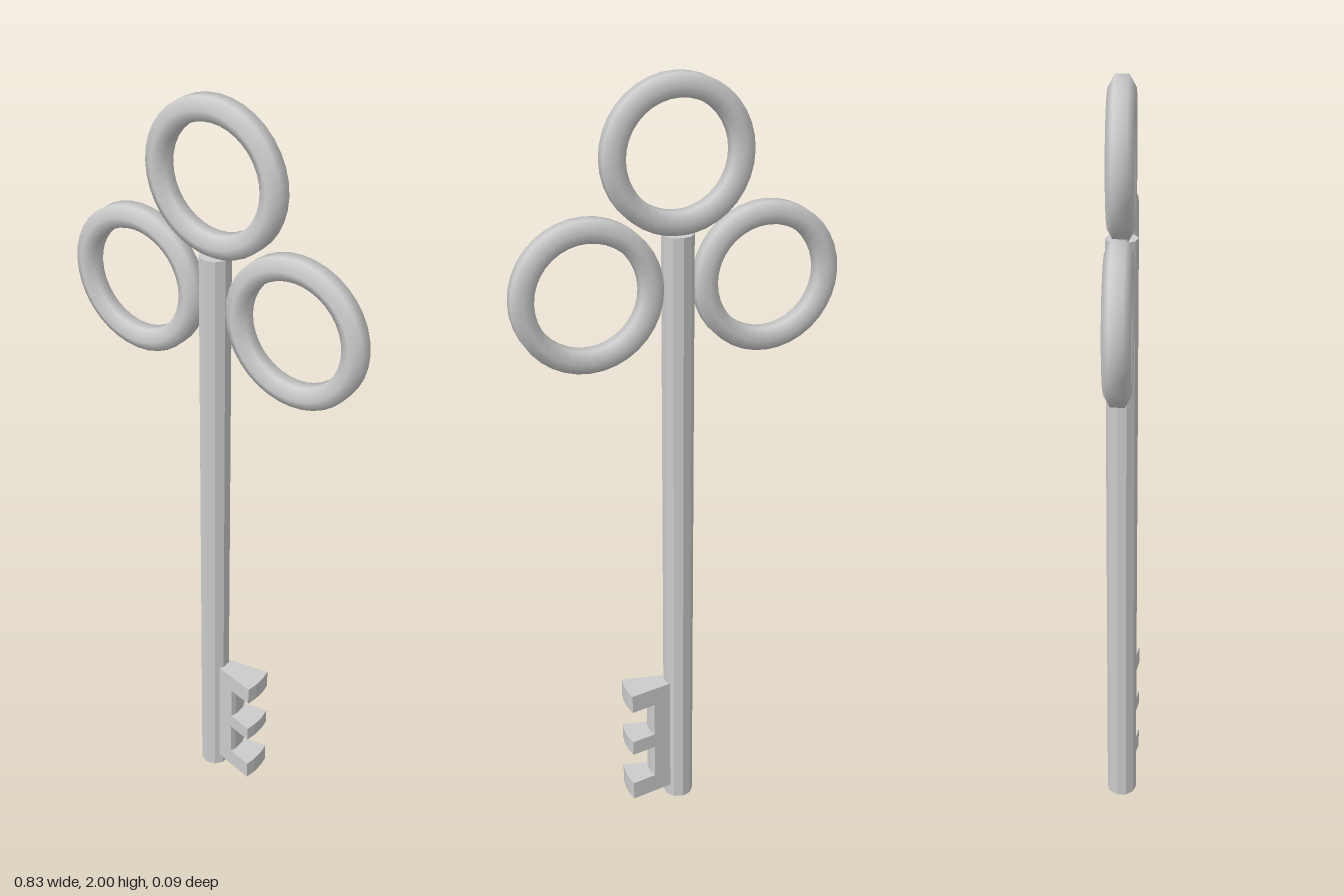
import * as THREE from 'three';
import { mergeVertices } from 'three/addons/utils/BufferGeometryUtils.js';

const smooth = new THREE.MeshStandardMaterial({ color: 0xcccccc });
const flat = new THREE.MeshStandardMaterial({ color: 0xcccccc, flatShading: true });

// Ring with a six-sided tube whose corners point to the front and back
function ringGeometry(radius, tube) {
  const profile = [];
  for (let i = 0; i <= 6; i++) {
    const a = -Math.PI / 2 + (i * Math.PI) / 3;
    profile.push(new THREE.Vector2(radius + tube * Math.cos(a), tube * Math.sin(a)));
  }
  let geo = new THREE.LatheGeometry(profile, 36);
  geo.deleteAttribute('uv');
  geo.deleteAttribute('normal');
  geo = mergeVertices(geo, 1e-5);
  geo.computeVertexNormals();
  return geo.rotateX(Math.PI / 2);
}

// Wedge that widens away from the shaft, with a slightly bulged outer end
function wedgeGeometry(x0, x1, y0, y1) {
  const half = (x) => 0.0155 + 0.2 * x;
  const shape = new THREE.Shape([
    new THREE.Vector2(x0, -half(x0)),
    new THREE.Vector2(x1, -half(x1)),
    new THREE.Vector2(x1 + 0.005, -0.016),
    new THREE.Vector2(x1 + 0.005, 0.016),
    new THREE.Vector2(x1, half(x1)),
    new THREE.Vector2(x0, half(x0)),
  ]);
  const geo = new THREE.ExtrudeGeometry(shape, { depth: y1 - y0, bevelEnabled: false });
  return geo.rotateX(-Math.PI / 2).translate(0, y0, 0);
}

export function createModel() {
  const key = new THREE.Group();
  key.name = 'key';
  const add = (name, geo, mat, x = 0, y = 0) => {
    const mesh = new THREE.Mesh(geo, mat);
    mesh.name = name;
    mesh.position.set(x, y, 0);
    key.add(mesh);
  };

  // Ten-sided shaft
  add('shaft', new THREE.CylinderGeometry(0.04, 0.04, 1.625, 10), flat, 0, 0.8125);

  // Trefoil bow of three rings
  const ring = ringGeometry(0.16, 0.0325);
  add('topRing', ring, smooth, 0, 1.812);
  add('leftRing', ring, smooth, 0.229, 1.497);
  add('rightRing', ring, smooth, -0.229, 1.497);

  // Bit: a plate along the shaft with three teeth
  add('bitPlate', wedgeGeometry(0.02, 0.08, 0.035, 0.376), flat);
  const teeth = [[0.035, 0.088], [0.185, 0.227], [0.324, 0.376]];
  teeth.forEach(([y0, y1], i) => add(`tooth${i + 1}`, wedgeGeometry(0.08, 0.147, y0, y1), flat));

  return key;
}
